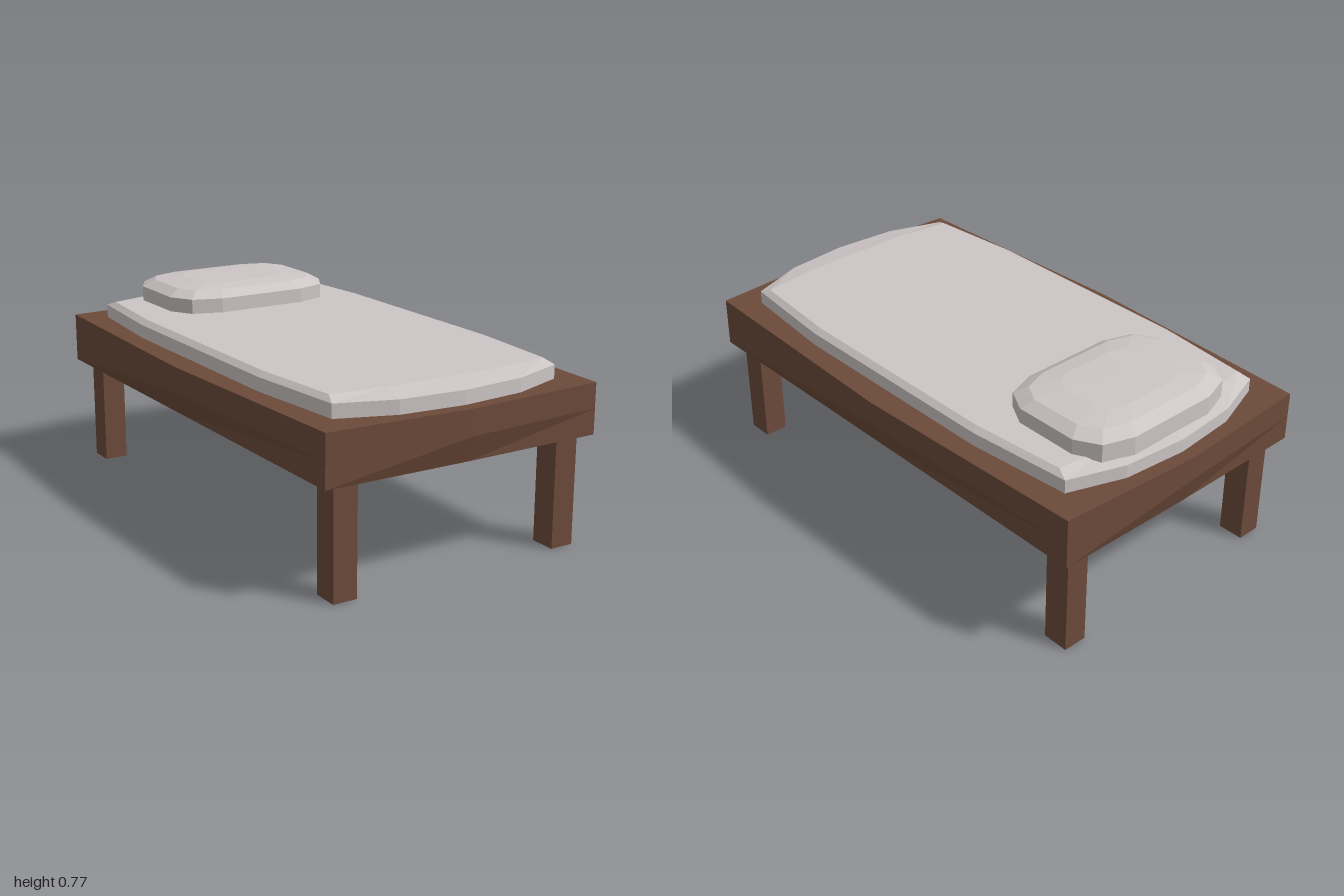
import * as THREE from 'three';

const wood = new THREE.MeshStandardMaterial({ color: 0x6b4a3a });
wood.name = 'brown wood';
const linen = new THREE.MeshStandardMaterial({ color: 0xcdc5c5 });
linen.name = 'pale linen';

// Faceted solid through stacked rings of [x, y, z], counter-clockwise seen from above
function loft(rings, bottom, top) {
  const pos = [];
  const n = rings[0].length;
  const tri = (...pts) => pts.forEach(p => pos.push(...p));
  for (let i = 0; i < n; i++) {
    const j = (i + 1) % n;
    tri(bottom, rings[0][j], rings[0][i]);
    for (let k = 0; k + 1 < rings.length; k++) {
      const a = rings[k], b = rings[k + 1];
      tri(a[i], a[j], b[j]);
      tri(a[i], b[j], b[i]);
    }
    const last = rings[rings.length - 1];
    tri(top, last[i], last[j]);
  }
  const g = new THREE.BufferGeometry();
  g.setAttribute('position', new THREE.Float32BufferAttribute(pos, 3));
  g.computeVertexNormals();
  return g;
}

// Mirrors a quarter outline (from +x axis side to the -z tip) into a full ring
function mirrorRing(quarter, y) {
  const half = [...quarter];
  for (const [x, z] of [...quarter].reverse()) if (x > 0) half.push([-x, z]);
  const full = [...half];
  for (const [x, z] of [...half].reverse()) if (z < 0) full.push([x, -z]);
  return full.map(([x, z]) => [x, y, z]);
}

export function createModel() {
  const group = new THREE.Group();
  group.name = 'bed';
  const add = (name, geometry, material, x = 0, y = 0, z = 0) => {
    const mesh = new THREE.Mesh(geometry, material);
    mesh.name = name;
    mesh.position.set(x, y, z);
    group.add(mesh);
  };

  // Bowed frame, tapering in towards its underside
  const bowed = [[0.592, 0], [0.557, -0.967], [0, -1]];
  add('frame', loft([
    mirrorRing([[0.557, 0], [0.557, -0.967], [0, -0.972]], 0.41),
    mirrorRing(bowed, 0.505),
    mirrorRing(bowed, 0.6),
  ], [0, 0.405, 0], [0, 0.606, 0]), wood);

  // Mattress with bulging outline and bevelled top edge
  const rim = [[0.5, -0.45], [0.462, -0.855], [0.25, -0.93], [0, -0.952]];
  add('mattress', loft([
    mirrorRing(rim, 0.598),
    mirrorRing(rim, 0.652),
    mirrorRing([[0.478, -0.44], [0.445, -0.81], [0.24, -0.835], [0, -0.84]], 0.67),
  ], [0, 0.598, 0], [0, 0.674, 0]), linen);

  // Pillow with rounded corners and domed top
  const edge = [[0.347, -0.125], [0.297, -0.215], [0.182, -0.254]];
  const scaled = (s, t, y) => mirrorRing(edge.map(([x, z]) => [x * s, z * t]), y);
  add('pillow', loft([
    scaled(1, 1, -0.06),
    scaled(1, 1, 0.07),
    scaled(0.87, 0.82, 0.097),
    scaled(0.55, 0.55, 0.108),
  ], [0, -0.06, 0], [0, 0.109, 0]), linen, 0.013, 0.658, -0.656);

  // Square legs
  const legShape = new THREE.BoxGeometry(0.092, 0.412, 0.1);
  for (const [side, x] of [['left', 0.46], ['right', -0.46]]) {
    add(side + 'FrontLeg', legShape, wood, x, 0.206, 0.887);
    add(side + 'BackLeg', legShape, wood, x, 0.206, -0.875);
  }
  return group;
}
